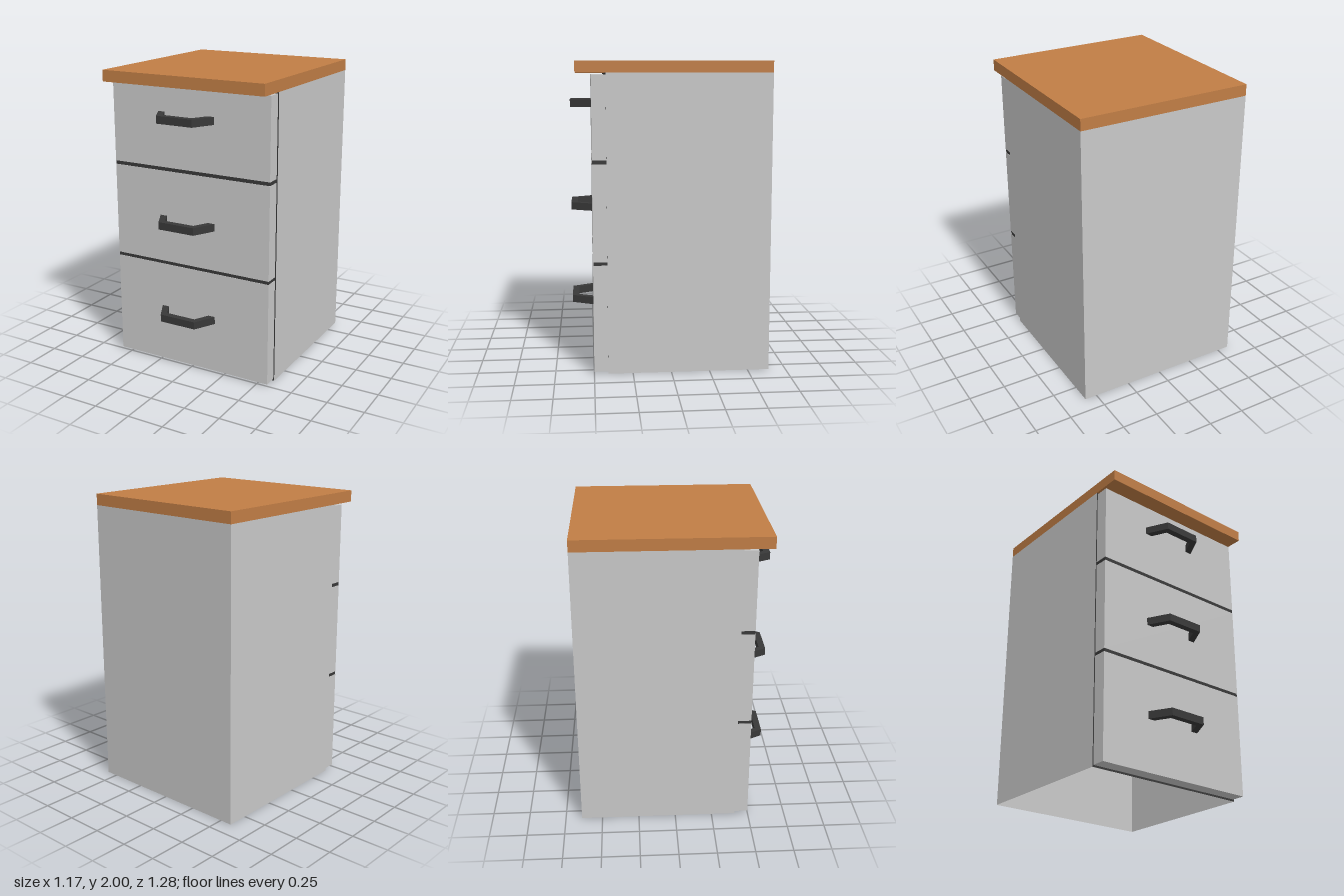
import * as THREE from 'three';

const grey = new THREE.MeshStandardMaterial({ color: 0xc8c8c8, side: THREE.DoubleSide });
grey.name = 'light grey';
const dark = new THREE.MeshStandardMaterial({ color: 0x383838, side: THREE.DoubleSide });
dark.name = 'charcoal';
const wood = new THREE.MeshStandardMaterial({ color: 0xc07d45 });
wood.name = 'wood';

const HALF_W = 0.583, BACK = -0.64, BODY_FRONT = 0.41, DRAWER_FRONT = 0.5, BODY_TOP = 1.925;

export function createModel() {
  const model = new THREE.Group();
  model.name = 'drawerCabinet';

  const add = (name, geometry, material, x = 0, y = 0, z = 0, turn = 0) => {
    const mesh = new THREE.Mesh(geometry, material);
    mesh.name = name;
    mesh.position.set(x, y, z);
    mesh.rotation.y = turn;
    model.add(mesh);
  };
  // Box given by its height range and depth range, centred on x
  const slab = (name, material, halfW, y0, y1, z0, z1) =>
    add(name, new THREE.BoxGeometry(halfW * 2, y1 - y0, z1 - z0), material, 0, (y0 + y1) / 2, (z0 + z1) / 2);

  // Thin-walled body, open underneath
  const depth = BODY_FRONT - BACK, midZ = (BODY_FRONT + BACK) / 2, midY = BODY_TOP / 2;
  for (const [name, s] of [['leftWall', 1], ['rightWall', -1]]) {
    add(name, new THREE.PlaneGeometry(depth, BODY_TOP), grey, s * HALF_W, midY, midZ, s * Math.PI / 2);
  }
  add('backWall', new THREE.PlaneGeometry(HALF_W * 2, BODY_TOP), grey, 0, midY, BACK, Math.PI);
  add('frontFrame', new THREE.PlaneGeometry(HALF_W * 2, BODY_TOP), dark, 0, midY, BODY_FRONT);

  // Worktop overhanging the front
  slab('worktop', wood, HALF_W, BODY_TOP, 2, BACK, 0.6);

  // Angular pull handle: outer trapezoid outline with a hollow behind the bar
  const outline = new THREE.Shape([
    [-0.205, 0], [-0.13, 0.14], [0.13, 0.14], [0.205, 0],
    [0.157, 0], [0.106, 0.097], [-0.106, 0.097], [-0.157, 0],
  ].map(([x, z]) => new THREE.Vector2(x, z)));
  const handle = new THREE.ExtrudeGeometry(outline, { depth: 0.05, bevelEnabled: false });
  handle.translate(0, 0, -0.025).rotateX(Math.PI / 2);

  // Drawer fronts: bottom, top, handle height
  const drawers = [[0.013, 0.713, 0.382], [0.735, 1.36, 1.03], [1.384, 1.915, 1.725]];
  drawers.forEach(([y0, y1, handleY], i) => {
    slab('drawerFront' + (i + 1), grey, 0.576, y0, y1, BODY_FRONT, DRAWER_FRONT);
    add('handle' + (i + 1), handle, dark, -0.023, handleY, DRAWER_FRONT);
    // Dark joint up to the next drawer
    if (i < 2) slab('joint' + (i + 1), dark, 0.574, y1, drawers[i + 1][0], BODY_FRONT, DRAWER_FRONT - 0.002);
  });

  return model;
}
